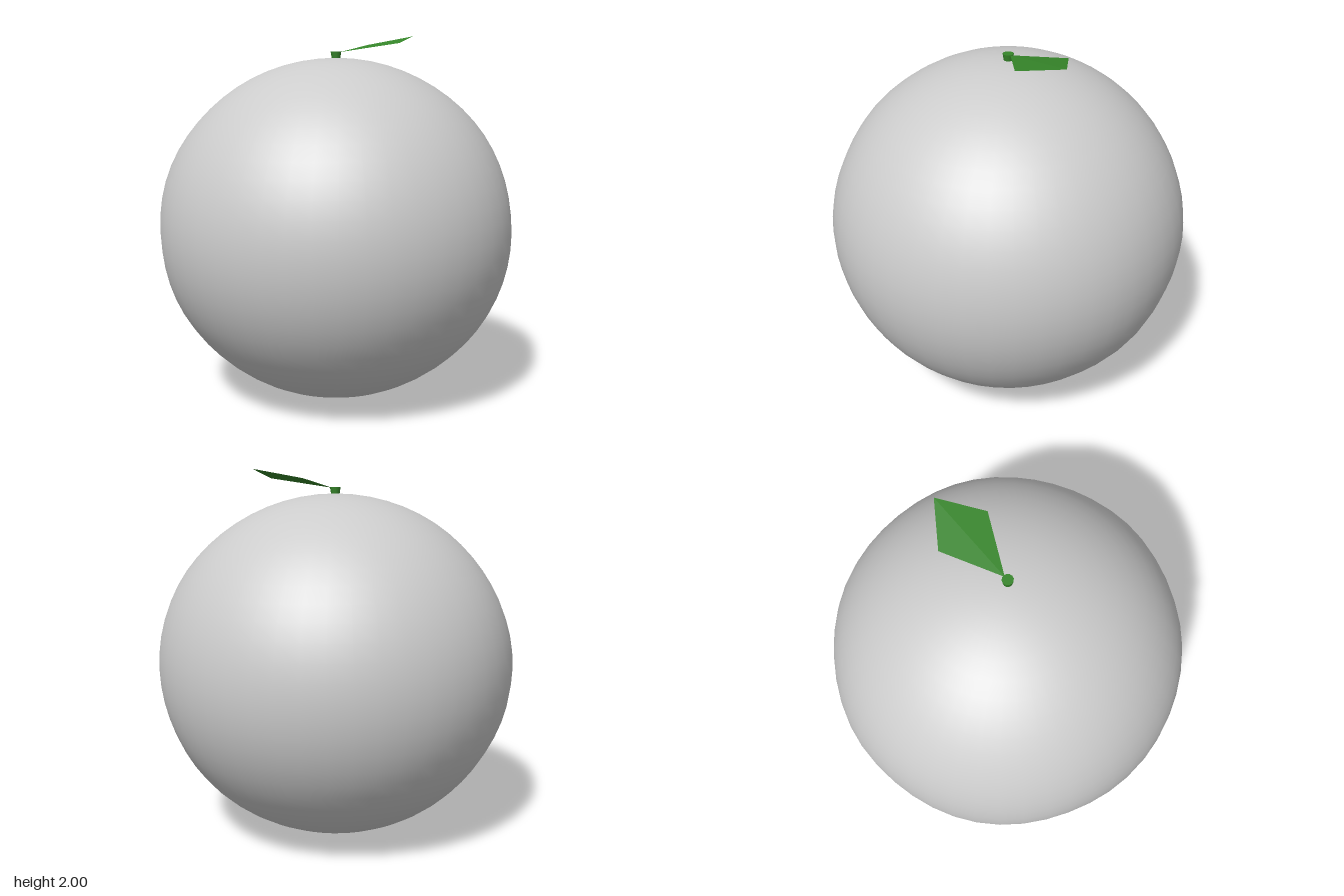
import * as THREE from 'three';

export function createModel() {
  const model = new THREE.Group();
  const skin = new THREE.MeshStandardMaterial({ color: 0xcccccc });
  skin.name = 'pale grey skin';
  const green = new THREE.MeshStandardMaterial({ color: 0x36862a });
  green.name = 'leaf green';
  const leafGreen = green;
  leafGreen.side = THREE.DoubleSide;

  const add = (name, geometry, material) => {
    const mesh = new THREE.Mesh(geometry, material);
    mesh.name = name;
    model.add(mesh);
    return mesh;
  };

  // Fruit: slightly flattened ball with faint, smooth unevenness
  const ball = new THREE.SphereGeometry(1, 48, 32);
  const pos = ball.attributes.position;
  const normals = ball.attributes.normal;
  const v = new THREE.Vector3();
  const radius = (d) => 1 + 0.003 * (1 - d.y * d.y) *
    (Math.sin(7 * d.x + 4 * d.y) + Math.sin(8 * d.z - 5 * d.y + 1));
  for (let i = 0; i < pos.count; i++) {
    v.fromBufferAttribute(pos, i);
    v.multiplyScalar(radius(v));
    pos.setXYZ(i, v.x * 0.97, v.y * 0.934 + 0.939, v.z * 0.97);
    v.fromBufferAttribute(normals, i).divide(new THREE.Vector3(0.97, 0.934, 0.97)).normalize();
    normals.setXYZ(i, v.x, v.y, v.z);
  }
  add('fruit', ball, skin);

  // Stem: short stub, wider at the top
  const stem = add('stem', new THREE.CylinderGeometry(0.029, 0.022, 0.045, 12), green);
  stem.position.y = 1.884;

  // Leaf: thin diamond rising to the left, creased along its middle
  const leaf = new THREE.BufferGeometry();
  const base = [0.02, 1.903, 0], tip = [0.515, 2, 0];
  const front = [0.31, 1.953, 0.155], back = [0.31, 1.953, -0.155];
  leaf.setAttribute('position', new THREE.Float32BufferAttribute(
    [base, front, tip, base, tip, back].flat(), 3));
  leaf.computeVertexNormals();
  add('leaf', leaf, leafGreen);

  return model;
}
